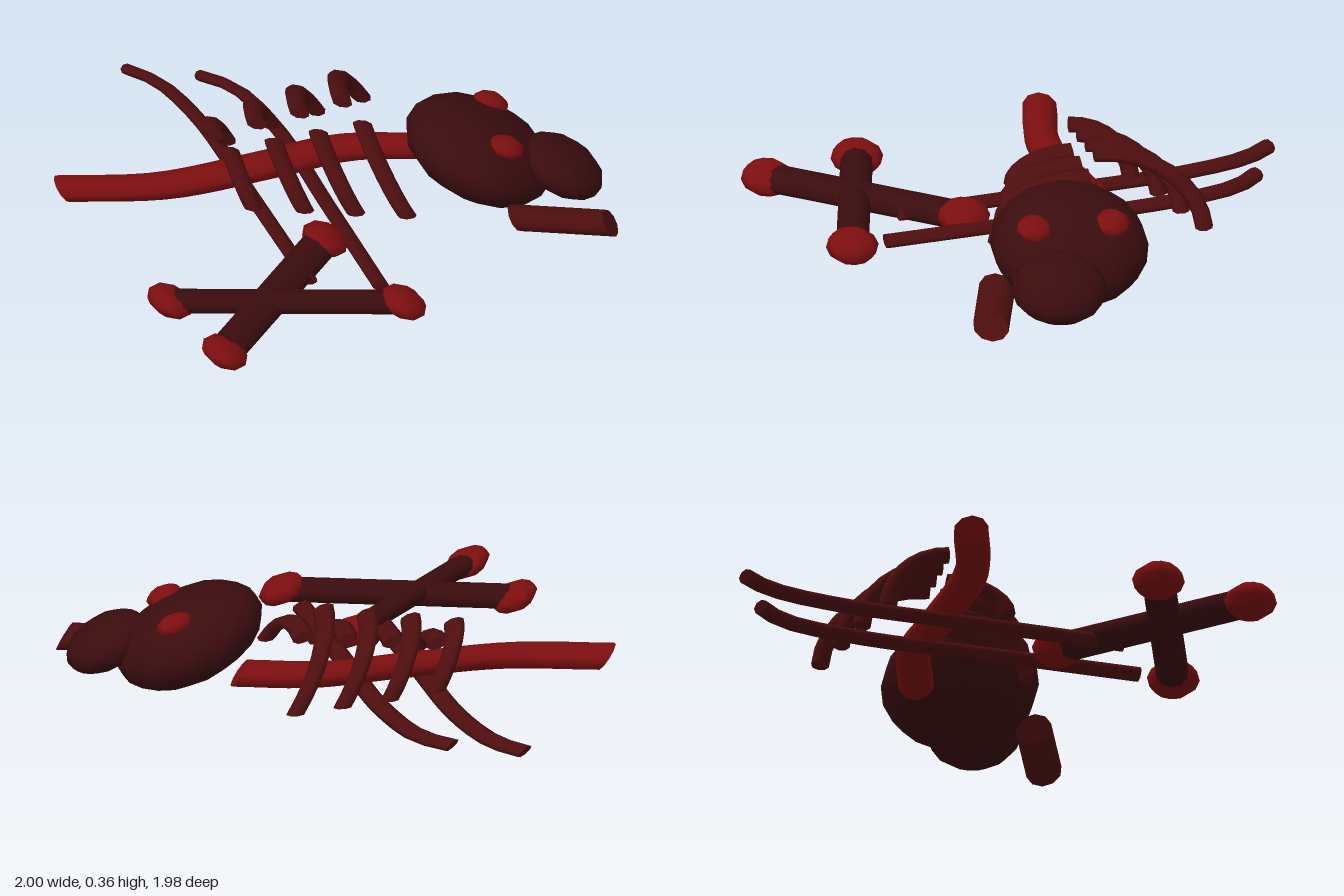
import * as THREE from 'three';
import { mergeGeometries } from 'three/addons/utils/BufferGeometryUtils.js';

const material = (name, color) => {
  const m = new THREE.MeshStandardMaterial({ color });
  m.name = name;
  return m;
};

// Every part is flattened in y and leans towards -x as it rises
const FLAT = 0.7, LEAN = 0.72;
const lean = new THREE.Matrix4().set(
  1, -LEAN * FLAT, 0, 0,
  0, FLAT, 0, 0,
  0, 0, 1, 0,
  0, 0, 0, 1);
const unlean = lean.clone().invert();

// Flat end disc from one ring of a tube
function cap(tube, first, count, reverse) {
  const p = tube.attributes.position, ring = [];
  for (let i = 0; i < count; i++) ring.push(new THREE.Vector3().fromBufferAttribute(p, first + i));
  if (reverse) ring.reverse();
  const pts = [];
  for (let i = 1; i < count - 1; i++) pts.push(ring[0], ring[i], ring[i + 1]);
  const g = new THREE.BufferGeometry().setFromPoints(pts);
  g.computeVertexNormals();
  return g;
}

export function createModel() {
  const model = new THREE.Group();
  model.name = 'skeleton';
  const dark = material('dark maroon', 0x3a0c0e);
  const mid = material('maroon', 0x4e0e0f);
  const red = material('deep red', 0x7c0e0f);

  const add = (name, geometry, mat) => {
    const mesh = new THREE.Mesh(geometry, mat);
    mesh.name = name;
    model.add(mesh);
  };

  // Closed round bone along a path of [x, y, z] points
  function bone(name, points, radius, mat, steps = 12, sides = 10) {
    const path = points.map(p => new THREE.Vector3(...p).applyMatrix4(unlean));
    const curve = path.length === 2 ? new THREE.LineCurve3(...path) : new THREE.CatmullRomCurve3(path);
    const tube = new THREE.TubeGeometry(curve, steps, radius, sides);
    const side = tube.toNonIndexed();
    side.deleteAttribute('uv');
    const g = mergeGeometries([side, cap(tube, 0, sides, false), cap(tube, steps * (sides + 1), sides, true)]);
    add(name, g.applyMatrix4(lean), mat);
  }

  // Leaning ellipsoid
  function blob(name, [x, y, z], [rx, ry, rz], mat, w, h) {
    const g = new THREE.SphereGeometry(1, w, h);
    g.scale(rx, ry / FLAT, rz).applyMatrix4(lean).translate(x, y, z);
    add(name, g, mat);
  }

  // Skull, muzzle, eyes and loose jaw
  blob('skull', [0.55, 0.19, -0.015], [0.235, 0.182, 0.292], dark, 14, 10);
  blob('muzzle', [0.842, 0.143, 0.08], [0.13, 0.107, 0.177], dark, 12, 8);
  for (const z of [-0.16, 0.13]) blob('eye', [0.625, 0.292, z], [0.06, 0.04, 0.066], red, 8, 6);
  bone('jaw', [[0.63, 0.072, 0.27], [0.965, 0.06, 0.358]], 0.066, mid, 1);

  // Spine
  bone('spine', [[-0.965, 0.105, -0.2], [-0.6, 0.105, -0.145], [-0.2, 0.105, -0.2],
    [0.1, 0.105, -0.25], [0.39, 0.105, -0.2]], 0.065, red, 20);

  // Ribs: a quarter arc on each side of the spine, growing towards the head
  function rib(name, x0, y0, x1, z1) {
    const pts = [];
    for (let i = 0; i <= 6; i++) {
      const a = i / 6 * Math.PI / 2, drop = 1 - Math.cos(a);
      pts.push([x0 + (x1 - x0) * drop, y0 + (0.085 - y0) * drop, -0.2 + (z1 + 0.2) * Math.sin(a)]);
    }
    bone(name, pts, 0.034, mid, 8, 8);
  }
  for (let i = 0; i < 4; i++) {
    const x = -0.4 + i * 0.16;
    rib('backRib', x, 0.265 + i * 0.026, x + 0.09 + i * 0.02, [-0.41, -0.48, -0.53, -0.58][i]);
    rib('frontRib', x + 0.06 + i * 0.005, 0.185 + i * 0.016, x + 0.1 + i * 0.02, 0.03 + i * 0.055);
  }

  // Long thin limbs crossing under the spine
  bone('longLimb', [[-0.565, 0.052, -0.975], [-0.47, 0.052, -0.87], [-0.37, 0.052, -0.6],
    [-0.28, 0.052, -0.08], [-0.185, 0.052, 0.48]], 0.03, mid, 16, 8);
  bone('longLimb', [[-0.31, 0.052, -0.88], [-0.205, 0.052, -0.78], [-0.105, 0.052, -0.5],
    [-0.02, 0.052, 0.03], [0.065, 0.052, 0.575]], 0.03, mid, 16, 8);

  // Crossed bones with knobs
  for (const [a, b] of [[[-0.715, 0.068, 0.53], [0.12, 0.068, 0.71]], [[-0.585, 0.068, 0.89], [-0.08, 0.068, 0.255]]]) {
    bone('crossedBone', [a, b], 0.06, dark, 1);
    for (const end of [a, b]) blob('boneKnob', end, [0.075, 0.055, 0.098], red, 8, 6);
  }
  return model;
}
